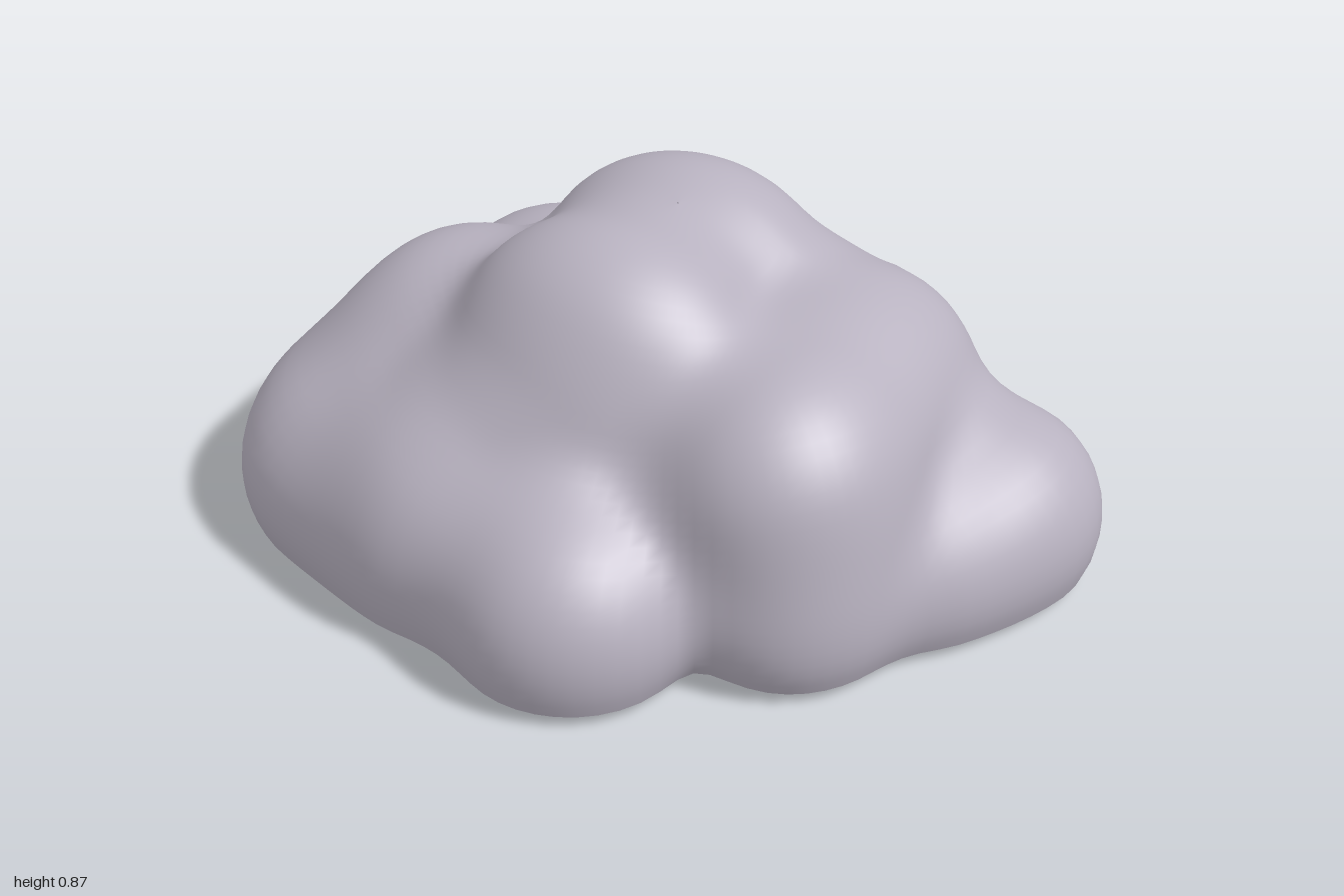
import * as THREE from 'three';

// Puffs of the cloud: centre x, y, z and radii x, y, z
const PUFFS = [
  [0, 0.15, 0, 0.55, 0.36, 0.53],          // core
  [-0.05, 0.53, 0.21, 0.38, 0.34, 0.3],    // crown, front
  [-0.05, 0.53, -0.13, 0.38, 0.34, 0.3],   // crown, back
  [-0.58, 0.14, 0.23, 0.42, 0.34, 0.48],   // wide side, low
  [-0.51, 0.36, 0.1, 0.31, 0.29, 0.33],    // wide side, high
  [-0.51, 0.19, -0.29, 0.33, 0.33, 0.33],  // wide side, rear
  [-0.28, 0.16, 0.46, 0.37, 0.37, 0.34],   // front slope, low
  [-0.1, 0.35, 0.33, 0.35, 0.3, 0.27],     // front slope, high
  [0.07, 0.14, 0.6, 0.29, 0.29, 0.285],    // front
  [0.42, 0.4, 0.27, 0.29, 0.3, 0.3],       // shoulder, front
  [0.4, 0.39, 0.06, 0.28, 0.28, 0.26],     // shoulder, middle
  [0.38, 0.38, -0.15, 0.3, 0.31, 0.31],    // shoulder, back
  [0.42, 0.2, -0.29, 0.21, 0.26, 0.2],     // shoulder, rear foot
  [0.48, 0.15, 0.25, 0.27, 0.28, 0.33],    // shoulder foot
  [0.73, 0.14, -0.17, 0.27, 0.27, 0.3],    // small side puff
  [0.7, 0.13, 0.06, 0.18, 0.2, 0.2],       // small side puff, front
  [-0.28, 0.14, -0.61, 0.28, 0.27, 0.28],  // rear pair
  [0.16, 0.14, -0.6, 0.29, 0.27, 0.28],
  [-0.1, 0.3, -0.3, 0.31, 0.27, 0.28],     // rear slope
  [0.16, 0.4, -0.27, 0.23, 0.23, 0.23],    // rear slope, high
];
// Radius of the ragged opening underneath, every 30 degrees
const OPENING = [0.36, 0.34, 0.31, 0.28, 0.38, 0.38, 0.36, 0.4, 0.46, 0.46, 0.43, 0.4];
const BLEND = 0.13;
const FLOOR = 0.03;
const AROUND = 120;
const RISE = 40;

// Distance to the softly merged puffs
function distance(x, y, z) {
  let result = 10;
  for (const [cx, cy, cz, rx, ry, rz] of PUFFS) {
    const a = (x - cx) / rx, b = (y - cy) / ry, c = (z - cz) / rz;
    const k0 = Math.hypot(a, b, c);
    const k1 = Math.hypot(a / rx, b / ry, c / rz) || 1;
    const d = (k0 * (k0 - 1)) / k1;
    const h = Math.max(BLEND - Math.abs(result - d), 0) / BLEND;
    result = Math.min(result, d) - h * h * BLEND * 0.25;
  }
  return result;
}

// Outermost surface point along a direction from the middle of the base
function surfacePoint(angle, elevation) {
  const dx = Math.cos(angle) * Math.cos(elevation);
  const dy = Math.sin(elevation);
  const dz = Math.sin(angle) * Math.cos(elevation);
  let t = 1.4;
  for (let i = 0; i < 70; i++) {
    t -= 0.7 * distance(dx * t, FLOOR + dy * t, dz * t);
  }
  return [dx * t, FLOOR + dy * t, dz * t];
}

// Point on the ragged opening
function openingPoint(angle) {
  const step = (angle / (Math.PI * 2)) * OPENING.length;
  const i = Math.floor(step);
  const r = THREE.MathUtils.lerp(OPENING[i], OPENING[(i + 1) % OPENING.length], step - i);
  return [Math.cos(angle) * r, 0, Math.sin(angle) * r];
}

// Skin closed rings of points, from the lowest ring upward
function skin(rings) {
  const index = [];
  for (let i = 0; i < rings.length - 1; i++) {
    for (let j = 0; j < AROUND; j++) {
      const k = (j + 1) % AROUND;
      const a = i * AROUND + j, b = i * AROUND + k;
      const c = a + AROUND, d = b + AROUND;
      index.push(a, c, b, b, c, d);
    }
  }
  const geometry = new THREE.BufferGeometry();
  geometry.setAttribute('position', new THREE.Float32BufferAttribute(rings.flat(2), 3));
  geometry.setIndex(index);
  geometry.computeVertexNormals();
  return geometry;
}

export function createModel() {
  const group = new THREE.Group();
  group.name = 'cloud';
  const cloudGrey = new THREE.MeshStandardMaterial({ color: 0xb8b2c0, side: THREE.DoubleSide });
  cloudGrey.name = 'cloudGrey';

  const angles = Array.from({ length: AROUND }, (_, j) => (j / AROUND) * Math.PI * 2);

  // Billowing upper shell
  const shellRings = [];
  for (let i = 0; i <= RISE; i++) {
    const elevation = Math.min((i / RISE) * Math.PI / 2, Math.PI / 2 - 0.002);
    shellRings.push(angles.map((a) => surfacePoint(a, elevation)));
  }
  const shell = new THREE.Mesh(skin(shellRings), cloudGrey);
  shell.name = 'puffyShell';
  group.add(shell);

  // Flat underside with an opening in the middle
  const rim = shellRings[0];
  const underside = new THREE.Mesh(skin([
    angles.map(openingPoint),
    rim.map(([x, , z]) => [x * 0.95, 0.012, z * 0.95]),
    rim,
  ]), cloudGrey);
  underside.name = 'underside';
  group.add(underside);

  return group;
}
